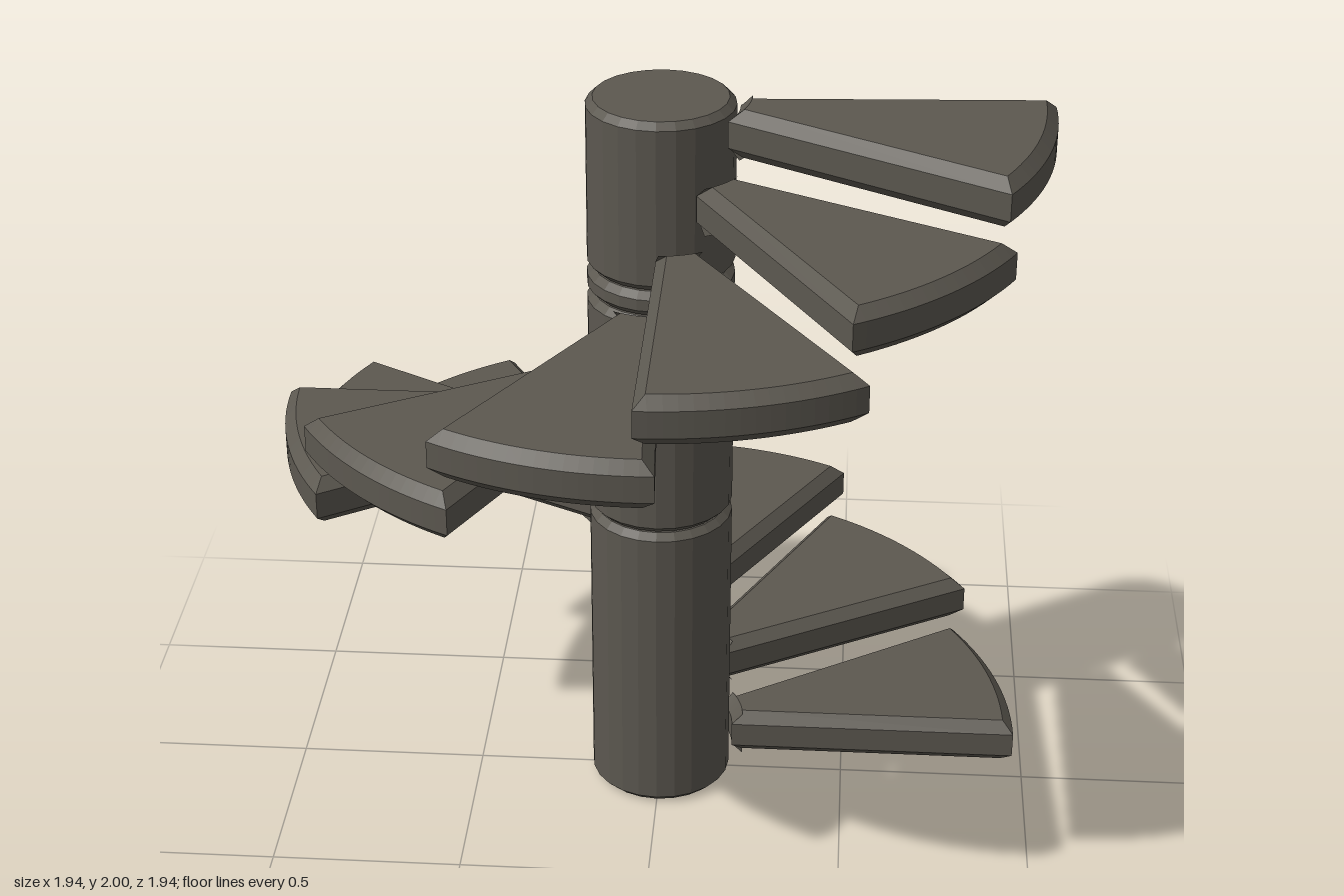
import * as THREE from 'three';

export function createModel() {
  const group = new THREE.Group();
  group.name = 'spiralStaircase';
  const stone = new THREE.MeshStandardMaterial({ color: 0x5c5850, flatShading: true });
  stone.name = 'dark stone';

  // Central column: stacked drums with chamfered rims
  const radius = 0.188, chamfer = 0.018;
  const joints = [0, 0.85, 1.235, 1.475, 1.545, 1.998];
  for (let i = 0; i < joints.length - 1; i++) {
    const y0 = joints[i] + (i ? 0.002 : 0), y1 = joints[i + 1] - 0.002;
    const profile = [
      [0, y0], [radius - chamfer, y0], [radius, y0 + chamfer],
      [radius, y1 - chamfer], [radius - chamfer, y1], [0, y1],
    ].map(([x, y]) => new THREE.Vector2(x, y));
    const drum = new THREE.Mesh(new THREE.LatheGeometry(profile, 24), stone);
    drum.name = 'columnDrum' + (i + 1);
    group.add(drum);
  }

  // One wedge-shaped tread, chamfered all round, starting at angle 0
  const inner = 0.196, outer = 0.97, sweep = THREE.MathUtils.degToRad(33);
  const thickness = 0.127, bevel = 0.029;
  const wedge = new THREE.Shape();
  wedge.absarc(0, 0, outer, 0, sweep, false);
  wedge.absarc(0, 0, inner, sweep, 0, true);
  const treadGeometry = new THREE.ExtrudeGeometry(wedge, {
    depth: thickness - 2 * bevel,
    bevelEnabled: true,
    bevelThickness: bevel,
    bevelSize: bevel,
    bevelOffset: -bevel,
    bevelSegments: 1,
    curveSegments: 8,
  });
  treadGeometry.translate(0, 0, bevel);
  treadGeometry.rotateX(-Math.PI / 2);

  // Twelve treads climbing one full turn
  const count = 12, first = 0.04, last = 2 - thickness;
  for (let i = 0; i < count; i++) {
    const tread = new THREE.Mesh(treadGeometry, stone);
    tread.name = 'tread' + (i + 1);
    tread.position.y = first + (last - first) * i / (count - 1);
    tread.rotation.y = i * Math.PI * 2 / count;
    group.add(tread);
  }
  return group;
}
